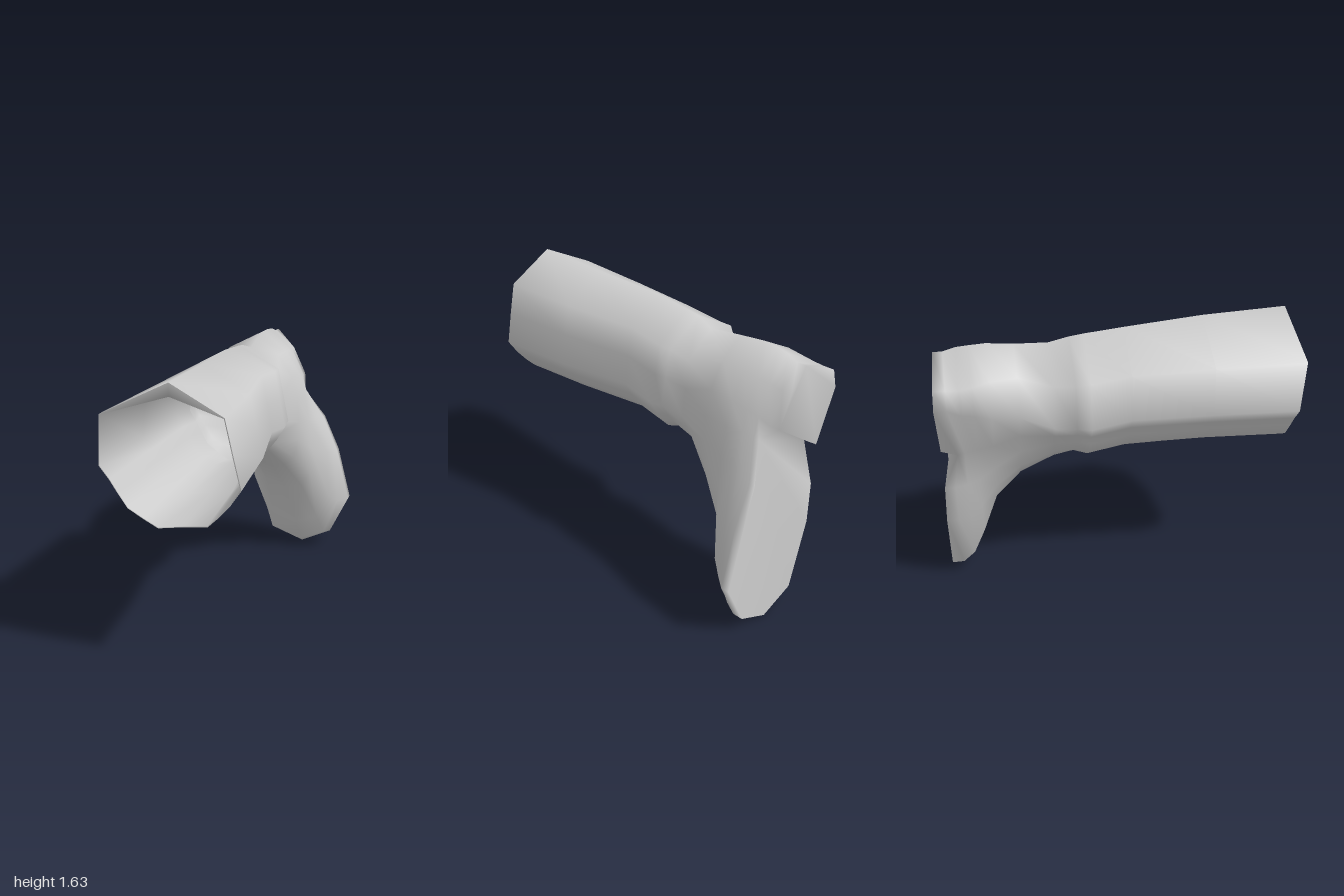
import * as THREE from 'three';
import { mergeGeometries, mergeVertices } from 'three/addons/utils/BufferGeometryUtils.js';

// Rim of the shaft: top, then clockwise seen from the front
const RIM = [
  [-0.07, 1.63, 0.975], [0.21, 1.48, 0.975], [0.25, 1.3, 0.975], [0.29, 1.12, 0.97], [0.23, 1.03, 0.965],
  [0.17, 0.96, 0.96], [0.11, 0.9, 0.955], [-0.02, 0.88, 0.95], [-0.16, 0.855, 0.95], [-0.24, 0.9, 0.955],
  [-0.32, 0.95, 0.96], [-0.37, 1.03, 0.965], [-0.41, 1.1, 0.97], [-0.46, 1.17, 0.975], [-0.43, 1.45, 1],
];
const RIM_X = -0.085, RIM_Y = 1.2425;

// Shaft sections are the rim rescaled: z, centre x, centre y, scale x, scale y
const SHAFT = [
  [0.5, -0.085, 1.24, 0.92, 0.955],
  [0.05, -0.11, 1.23, 0.78, 0.91],
  [-0.17, -0.105, 1.197, 0.81, 0.93],
  [-0.25, -0.105, 1.207, 0.81, 0.875],
  [-0.36, -0.08, 1.165, 0.62, 0.89],
];

// Foot sections: z and corners as x, y pairs, the lower side reaching down to the toe
const FOOT = [
  [-0.55, [-0.09, 1.525, 0.05, 1.43, 0.14, 1.29, 0.18, 1.15, 0.19, 1.0, 0.19, 0.88, 0.16, 0.76, 0.1, 0.7,
    0.02, 0.68, -0.08, 0.7, -0.16, 0.79, -0.22, 0.92, -0.27, 1.05, -0.335, 1.2, -0.3, 1.42]],
  [-0.7, [-0.09, 1.54, 0.06, 1.42, 0.15, 1.28, 0.19, 1.14, 0.22, 0.97, 0.24, 0.78, 0.24, 0.61, 0.18, 0.51,
    0.07, 0.48, -0.06, 0.53, -0.17, 0.67, -0.21, 0.82, -0.27, 1.0, -0.36, 1.22, -0.32, 1.42]],
  [-0.79, [-0.09, 1.535, 0.06, 1.41, 0.14, 1.26, 0.17, 1.14, 0.24, 0.97, 0.33, 0.73, 0.35, 0.42, 0.27, 0.26,
    0.13, 0.2, -0.04, 0.27, -0.18, 0.55, -0.21, 0.75, -0.26, 0.98, -0.35, 1.24, -0.33, 1.4]],
  [-0.86, [-0.08, 1.525, 0.05, 1.4, 0.13, 1.24, 0.16, 1.13, 0.25, 0.96, 0.36, 0.71, 0.4, 0.36, 0.31, 0.12,
    0.14, 0.045, -0.05, 0.12, -0.195, 0.48, -0.22, 0.73, -0.25, 0.96, -0.35, 1.25, -0.33, 1.39]],
];

// Bottom edge of the upper, dipping into the arch between heel and sole
const BOTTOM = [
  [-0.07, 1.5, -0.985], [0.04, 1.38, -0.985], [0.12, 1.21, -0.985], [0.15, 1.12, -0.885], [0.27, 0.93, -0.965],
  [0.37, 0.7, -0.98], [0.46, 0.36, -0.98], [0.34, 0.1, -0.99], [0.14, 0, -0.995], [-0.08, 0.08, -1],
  [-0.2, 0.48, -1], [-0.22, 0.72, -0.99], [-0.25, 0.95, -0.9], [-0.345, 1.28, -1], [-0.32, 1.39, -0.995],
];
const HEEL_TIP = [-0.23, 0.97, -0.99];

function surface(points, index) {
  const geo = new THREE.BufferGeometry();
  geo.setAttribute('position', new THREE.Float32BufferAttribute(points.flat(), 3));
  geo.setIndex(index);
  return geo;
}

// Skin through closed rings
function loft(rings) {
  const n = rings[0].length, index = [];
  for (let r = 0; r < rings.length - 1; r++) {
    for (let j = 0; j < n; j++) {
      const a = r * n + j, b = r * n + (j + 1) % n, c = b + n, d = a + n;
      index.push(a, b, c, a, c, d);
    }
  }
  return surface(rings.flat(), index);
}

// Polygon filled from its first corner
function fan(points) {
  const index = [];
  for (let i = 1; i < points.length - 1; i++) index.push(0, i, i + 1);
  return surface(points, index);
}

// Joins pieces at their shared corners so the shading runs smoothly across
function smooth(pieces) {
  const geo = mergeVertices(mergeGeometries(pieces));
  geo.computeVertexNormals();
  return geo;
}

export function createModel() {
  const model = new THREE.Group();
  model.name = 'boot';
  const material = new THREE.MeshStandardMaterial({ color: 0xcccccc, side: THREE.DoubleSide });
  const add = (name, pieces) => {
    const mesh = new THREE.Mesh(smooth(pieces), material);
    mesh.name = name;
    model.add(mesh);
  };

  // Open shaft, ankle and foot, ending in an upright edge around sole and heel
  const shaft = SHAFT.map(([z, cx, cy, sx, sy]) =>
    RIM.map(([x, y]) => [cx + (x - RIM_X) * sx, cy + (y - RIM_Y) * sy, z]));
  const foot = FOOT.map(([z, xy]) => BOTTOM.map((_, i) => [xy[2 * i], xy[2 * i + 1], z]));
  const edge = BOTTOM.map(([x, y, z]) => [x, y, Math.max(z, -0.93)]);
  const upper = loft([RIM, ...shaft, ...foot, edge, BOTTOM]);

  // Sole rising into the arch, heel underside, heel front and the small closing corner
  const [top, topRight, heelRight, archRight] = BOTTOM;
  const [archLeft, heelLeft, topLeft] = BOTTOM.slice(12);
  add('bootShell', [
    upper,
    fan(BOTTOM.slice(3, 13)),
    fan([top, topRight, heelRight, HEEL_TIP, heelLeft, topLeft]),
    fan([heelRight, archRight, archLeft, HEEL_TIP]),
    fan([HEEL_TIP, archLeft, heelLeft]),
  ]);

  // Lining just inside the shaft, flatter under the top of the rim
  const lining = [RIM, ...shaft.slice(0, 3)].map((ring) => ring.map(([x, y, z]) =>
    [RIM_X + (x - RIM_X) * 0.985, Math.min(RIM_Y + (y - RIM_Y) * 0.985, 1.56), z]));
  add('shaftLining', [loft([...lining.reverse(), RIM])]);

  return model;
}
